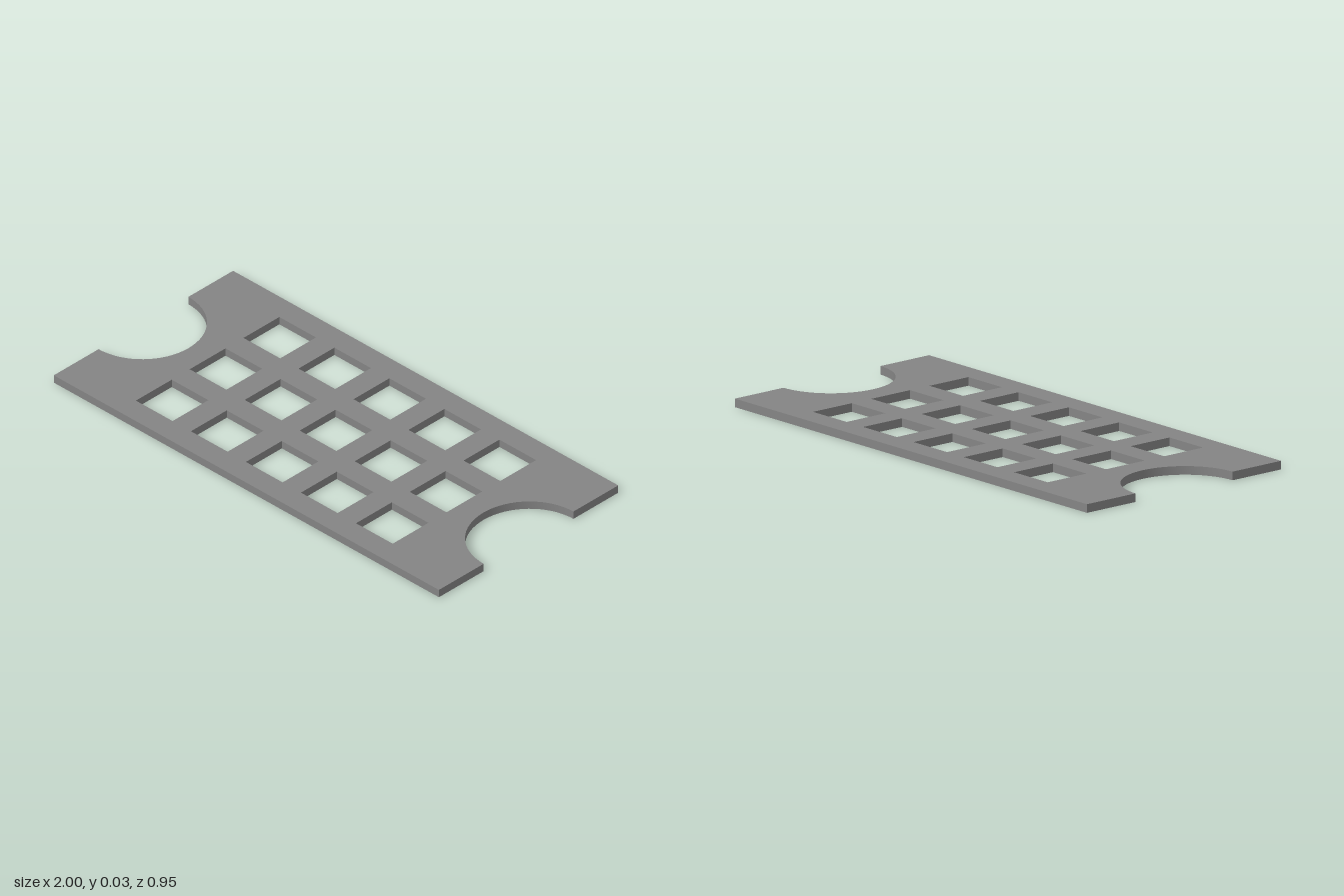
import * as THREE from 'three';
import { toCreasedNormals } from 'three/addons/utils/BufferGeometryUtils.js';

const U = 2 / 21; // grid module: holes are 2 modules wide, bars 1 module
const HALF_LENGTH = 1;
const HALF_DEPTH = 5 * U;
const NOTCH_HALF_WIDTH = 2.5 * U;
const NOTCH_DEPTH = 0.234;
const THICKNESS = 0.033;

// Square window centred on (x, y)
function squareHole(x, y, half) {
  const hole = new THREE.Path();
  hole.moveTo(x - half, y - half);
  hole.lineTo(x - half, y + half);
  hole.lineTo(x + half, y + half);
  hole.lineTo(x + half, y - half);
  hole.closePath();
  return hole;
}

export function createModel() {
  const group = new THREE.Group();
  group.name = 'perforatedPlate';

  // Outline with a rounded notch in each short end
  const outline = new THREE.Shape();
  for (const side of [1, -1]) {
    outline.lineTo(side * HALF_LENGTH, -side * HALF_DEPTH);
    outline.lineTo(side * HALF_LENGTH, -side * NOTCH_HALF_WIDTH);
    outline.absellipse(side * HALF_LENGTH, 0, NOTCH_DEPTH, NOTCH_HALF_WIDTH,
      -side * Math.PI / 2, side * Math.PI / 2, true);
    outline.lineTo(side * HALF_LENGTH, side * HALF_DEPTH);
  }
  // The path starts at the origin by default, so drop that first segment
  outline.curves.shift();
  outline.closePath();

  // 5 x 3 grid of square windows
  for (let col = -2; col <= 2; col++) {
    for (let row = -1; row <= 1; row++) {
      outline.holes.push(squareHole(col * 3 * U, row * 3 * U, U));
    }
  }

  // Extrude upward and lay flat; keep the notch walls smooth
  const geometry = new THREE.ExtrudeGeometry(outline, {
    depth: THICKNESS, bevelEnabled: false, curveSegments: 16,
  });
  geometry.rotateX(-Math.PI / 2);

  const plate = new THREE.Mesh(
    toCreasedNormals(geometry, Math.PI / 6),
    new THREE.MeshStandardMaterial({ color: 0x848484 }),
  );
  plate.name = 'plate';
  group.add(plate);
  return group;
}
